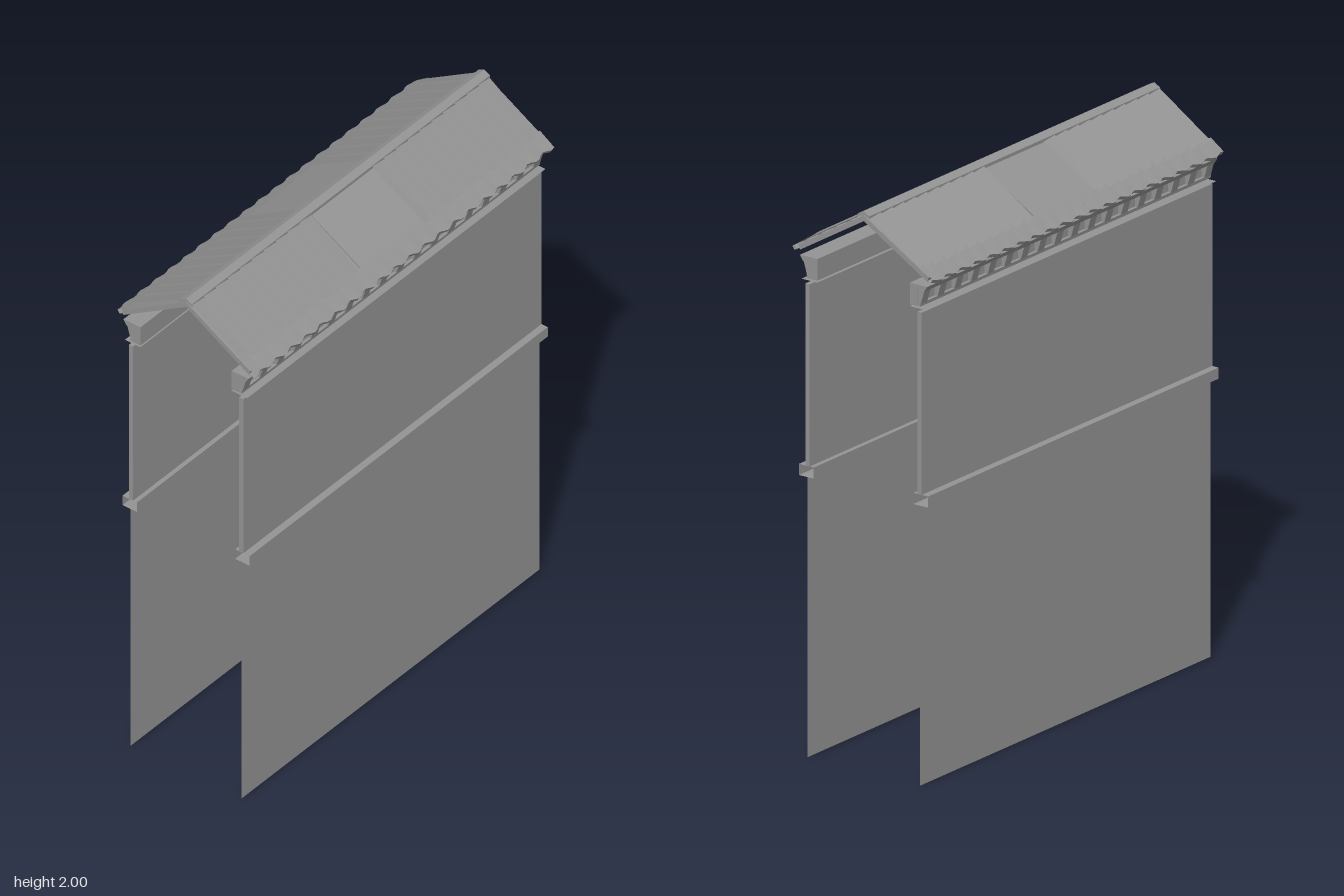
import * as THREE from 'three';

const grey = new THREE.MeshStandardMaterial({ color: 0x949494, side: THREE.DoubleSide });
grey.name = 'stone grey';
grey.flatShading = true;
const END = 0.81;

// Prism along z from an outline in x, y
function prism(points, z0, z1) {
  const shape = new THREE.Shape(points.map(([x, y]) => new THREE.Vector2(x, y)));
  const g = new THREE.ExtrudeGeometry(shape, { depth: z1 - z0, bevelEnabled: false });
  return g.translate(0, 0, z0);
}

// Open sheet swept along z through a chain of x, y points
function sheet(points, rows, place) {
  const pos = [], idx = [], n = points.length;
  for (let r = 0; r <= rows; r++) {
    points.forEach((p, i) => pos.push(...place(p, r / rows, i, r)));
  }
  for (let r = 0; r < rows; r++) {
    for (let i = 0; i < n - 1; i++) {
      const a = r * n + i;
      idx.push(a, a + n, a + 1, a + 1, a + n, a + n + 1);
    }
  }
  const g = new THREE.BufferGeometry();
  g.setAttribute('position', new THREE.Float32BufferAttribute(pos, 3));
  g.setIndex(idx);
  g.computeVertexNormals();
  return g;
}

export function createModel() {
  const model = new THREE.Group();
  const add = (name, geometry, parent = model) => {
    const mesh = new THREE.Mesh(geometry, grey);
    mesh.name = name;
    parent.add(mesh);
  };
  const along = ([x, y], t) => [x, y, -END + 2 * END * t];

  for (const s of [-1, 1]) {
    const side = new THREE.Group();
    side.name = s > 0 ? 'leftSide' : 'rightSide';
    model.add(side);
    const m = (pts) => pts.map(([x, y]) => [x * s, y]);

    // Walls: thin sheet below, solid slab above, open ledge between
    add('lowerWall', sheet(m([[0.237, 0], [0.237, 1]]), 1, along), side);
    add('upperWall', prism(m([[0.227, 1.04], [0.245, 1.04], [0.245, 1.69], [0.227, 1.69]]), -END, END), side);
    add('ledge', sheet(m([[0.21, 1], [0.272, 1], [0.272, 1.04], [0.21, 1.04], [0.21, 1]]), 1, along), side);

    // Cornice with a row of bracket blocks
    add('corniceSill', sheet(m([[0.195, 1.703], [0.262, 1.703]]), 1, along), side);
    add('frieze', prism(m([[0.195, 1.71], [0.228, 1.71], [0.228, 1.77], [0.195, 1.77]]), -END, END), side);
    add('crown', prism(m([[0.195, 1.767], [0.255, 1.767], [0.268, 1.787], [0.195, 1.787]]), -END, END), side);
    add('lowerMoulding', prism(m([[0.225, 1.71], [0.238, 1.71], [0.24, 1.722], [0.225, 1.722]]), -END, END), side);
    for (let i = 0; i < 18; i++) {
      const z = -0.79 + i * (1.58 / 17);
      add('bracket', prism(m([[0.22, 1.72], [0.24, 1.72], [0.254, 1.768], [0.22, 1.768]]), z - 0.018, z + 0.018), side);
    }

    // Roof slope
    add('roofSlab', prism(m([[0, 1.985], [0.275, 1.822], [0.268, 1.805], [0, 1.965]]), -END, END), side);

    // Overlapping slanted tiles on the two outer bays
    for (const [z0, z1] of [[-END, -0.17], [0.16, END]]) {
      const rows = 10, step = (z1 - z0) / rows;
      for (let k = 0; k < rows; k++) {
        const tile = sheet([[0.015, 1.98], [0.25, 1.841]], 1, ([x, y], t) => {
          const slant = 0.035 * ((s * x + 0.25) / 0.5 - 0.5);
          const z = THREE.MathUtils.clamp(z0 + (k + t) * step + slant, z0, z1);
          return [x * s, y + 0.003 + 0.007 * t, z];
        });
        add('roofTile', tile, side);
      }
    }
    add('middleRoofPanel', prism(m([[0, 1.99], [0.27, 1.832], [0.27, 1.824], [0, 1.982]]), -0.17, 0.16), side);

    // Eave strip with a wavy lower edge
    const eave = [[0.238, 1.854], [0.297, 1.814], [0.288, 1.801], [0.235, 1.83]];
    add('eave', sheet(eave, 96, ([x, y], t, i) => {
      const z = -END + 2 * END * t;
      const wave = i === 1 || i === 2 ? 0.006 * Math.sin(z * 78 + s) : 0;
      return [(x + wave) * s, y - wave * 0.5, z];
    }), side);
  }

  // Ridge cap
  add('ridgeCap', prism([[0, 2], [0.025, 1.987], [0.025, 1.975], [0, 1.988], [-0.025, 1.975], [-0.025, 1.987]], -END, END));
  return model;
}
